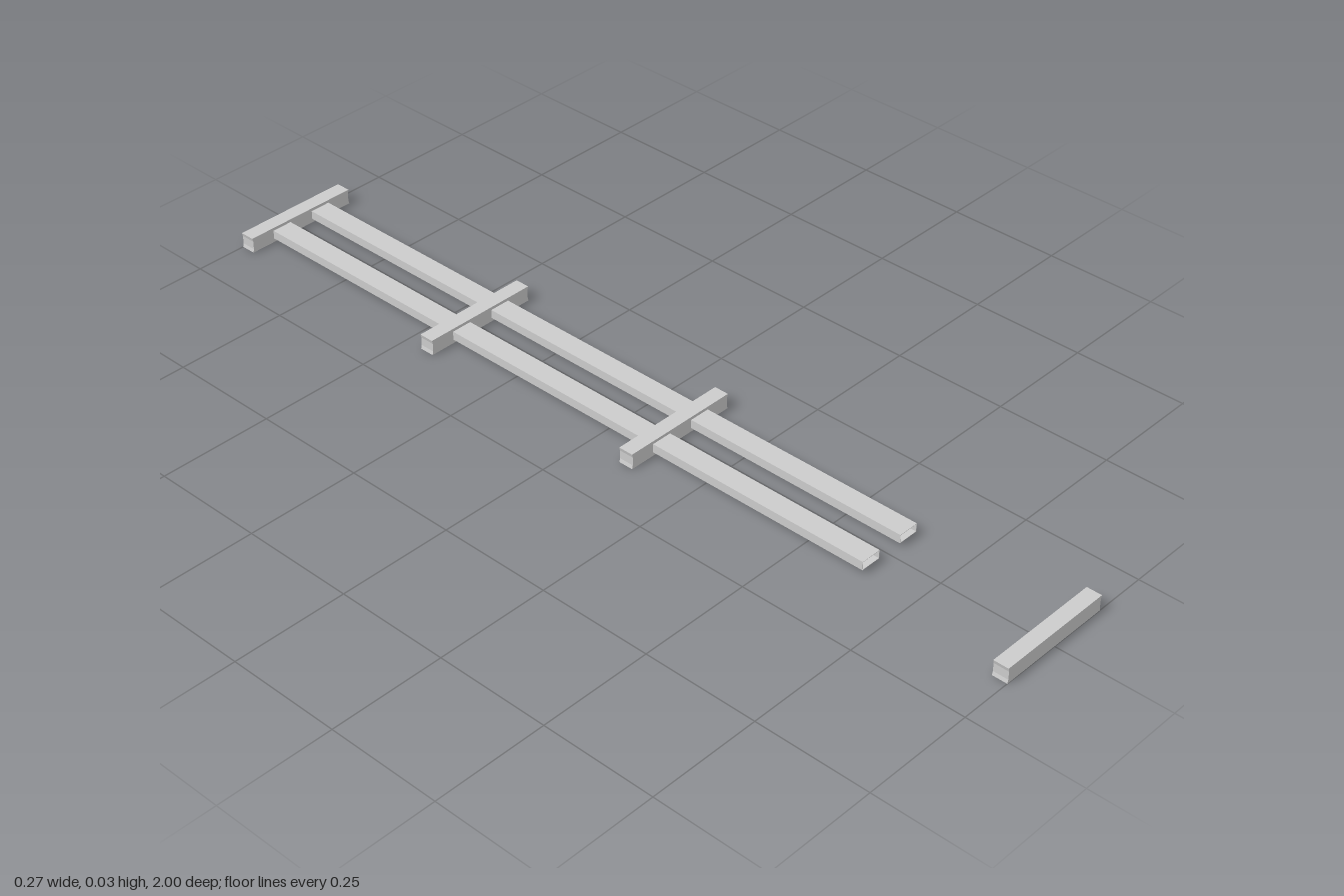
import * as THREE from 'three';

const HEIGHT = 0.034, DEPTH = 0.033, HALF = 0.134;
const RAIL_X = 0.053, RAIL_W = 0.047, RAIL_H = 0.019, RAIL_Y = 0.018;
const WALL = 0.0008;

const material = new THREE.MeshStandardMaterial({
  color: 0xcccccc, flatShading: true, side: THREE.DoubleSide,
});

// Crossbar outline with slightly dished ends; inset shrinks it evenly
function barPoints(inset = 0) {
  const right = [[HALF, 0], [HALF - 0.002, 0.008], [HALF - 0.002, 0.026], [HALF, HEIGHT]]
    .map(([x, y]) => new THREE.Vector2(x - inset, y === 0 ? inset : y === HEIGHT ? y - inset : y));
  const left = right.map((p) => new THREE.Vector2(-p.x, p.y)).reverse();
  return [...right, ...left];
}

function rectPoints(cx, cy, w, h) {
  return [[-1, -1], [1, -1], [1, 1], [-1, 1]]
    .map(([sx, sy]) => new THREE.Vector2(cx + sx * w / 2, cy + sy * h / 2));
}

// Extrude an outline with optional holes from z0 to z1
function prism(name, outline, holes, z0, z1) {
  const shape = new THREE.Shape(outline);
  shape.holes = holes.map((points) => new THREE.Path(points));
  const geometry = new THREE.ExtrudeGeometry(shape, { depth: z1 - z0, bevelEnabled: false });
  geometry.translate(0, 0, z0);
  const mesh = new THREE.Mesh(geometry, material);
  mesh.name = name;
  return mesh;
}

export function createModel() {
  const model = new THREE.Group();
  model.name = 'railFrame';

  // Three crossbars joined to the rails
  [['backCrossbar', -0.9835], ['rearMiddleCrossbar', -0.44], ['frontMiddleCrossbar', 0.104]]
    .forEach(([name, z]) => model.add(prism(name, barPoints(), [], z - DEPTH / 2, z + DEPTH / 2)));

  // Pair of hollow rails, open at the front
  for (const [name, side] of [['leftRail', 1], ['rightRail', -1]]) {
    model.add(prism(
      name,
      rectPoints(side * RAIL_X, RAIL_Y, RAIL_W, RAIL_H),
      [rectPoints(side * RAIL_X, RAIL_Y, RAIL_W - 2 * WALL, RAIL_H - 2 * WALL)],
      -0.967, 0.632,
    ));
  }

  // Detached hollow front crossbar with two rail slots in its back
  const front = new THREE.Group();
  front.name = 'frontCrossbar';
  const z0 = 1 - DEPTH, z1 = 1;
  const slots = [-1, 1].map((s) => rectPoints(s * RAIL_X, RAIL_Y, RAIL_W, RAIL_H));
  front.add(
    prism('slottedBackPlate', barPoints(), slots, z0, z0 + WALL),
    prism('outerShell', barPoints(), [barPoints(WALL)], z0 + WALL, z1 - WALL),
    prism('frontPlate', barPoints(), [], z1 - WALL, z1),
  );
  model.add(front);

  return model;
}
